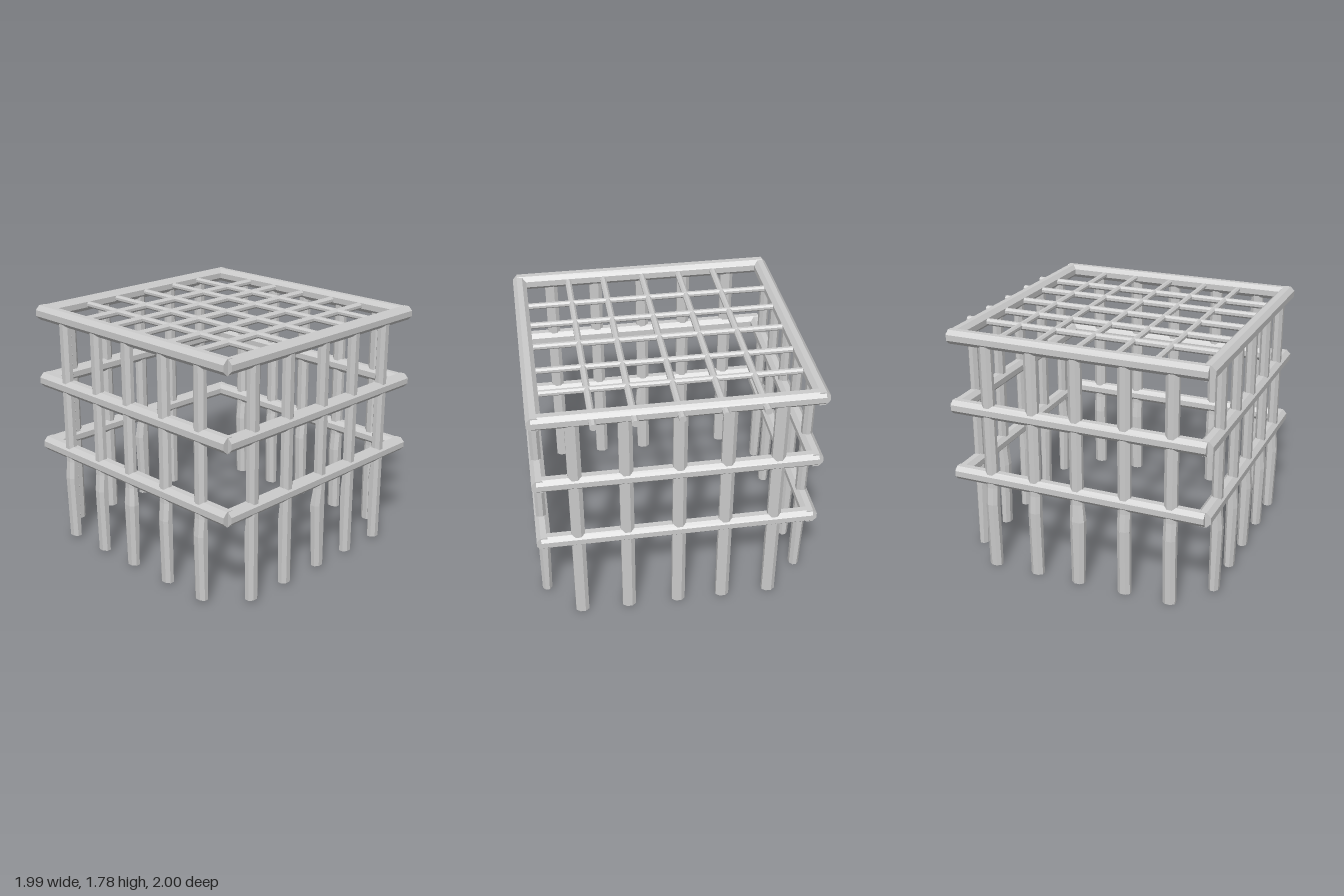
import * as THREE from 'three';

const material = new THREE.MeshStandardMaterial({ color: 0xcccccc, flatShading: true });

// Eight-sided prism along y, flats facing the axes; w and d are its full width and depth
function prism(w, d, length, segments = 1) {
  const r = 0.5 / Math.cos(Math.PI / 8);
  const geo = new THREE.CylinderGeometry(r, r, length, 8, segments, false, Math.PI / 8);
  return geo.scale(w, 1, d);
}

function add(group, name, geo, x, y, z) {
  const mesh = new THREE.Mesh(geo, material);
  mesh.name = name;
  mesh.position.set(x, y, z);
  group.add(mesh);
  return mesh;
}

// Horizontal beam along x or z, between two ends
function beam(group, name, axis, from, to, thick, y, across) {
  const geo = prism(thick, thick, to - from);
  const mid = (from + to) / 2;
  if (axis === 'x') add(group, name, geo.rotateZ(Math.PI / 2), mid, y, across);
  else add(group, name, geo.rotateX(Math.PI / 2), across, y, mid);
}

// Upright with a slight hand-hewn swelling below the lowest rail
function post(group, name, x, z, w, d, bottom, bulgeX, bulgeZ) {
  const levels = [bottom, 0.5, 0.63, 1.73];
  const geo = prism(w, d, 3, 3);
  const p = geo.attributes.position;
  for (let i = 0; i < p.count; i++) {
    const level = Math.round(p.getY(i) + 1.5);
    p.setY(i, levels[level]);
    if (level === 1) {
      if (p.getX(i) * bulgeX > 0) p.setX(i, p.getX(i) + bulgeX);
      if (p.getZ(i) * bulgeZ > 0) p.setZ(i, p.getZ(i) + bulgeZ);
    }
  }
  add(group, name, geo, x, 0, z);
}

export function createModel() {
  const model = new THREE.Group();
  model.name = 'timberFrame';

  // Three rings of rails
  const rails = new THREE.Group();
  rails.name = 'rails';
  model.add(rails);
  for (const y of [0.7, 1.21, 1.725]) {
    beam(rails, 'frontRail', 'x', -0.963, 0.963, 0.108, y, 0.942);
    beam(rails, 'backRail', 'x', -0.963, 0.963, 0.1, y, -0.89);
    beam(rails, 'leftRail', 'z', -0.92, 0.955, 0.1, y, 0.945);
    beam(rails, 'rightRail', 'z', -0.92, 0.955, 0.1, y, -0.945);
  }

  // Five posts on each side, none at the corners
  const posts = new THREE.Group();
  posts.name = 'posts';
  model.add(posts);
  [-0.685, -0.335, -0.005, 0.36, 0.705].forEach((x, i) => {
    post(posts, 'frontPost', x, 0.948, 0.095, 0.072, 0.02, i === 2 ? 0.012 : 0, 0.012);
    post(posts, 'backPost', x, -0.893, 0.095, 0.072, 0, 0, 0.012);
  });
  [0.71, 0.375, 0.02, -0.305, -0.645].forEach((z, i) => {
    const swell = i === 2 ? 0.015 : 0;
    post(posts, 'leftPost', 0.947, z, 0.072, 0.092, 0.02, -0.012, swell);
    post(posts, 'rightPost', -0.947, z, 0.072, 0.092, 0, -0.012, swell);
  });

  // Roof lattice; the long bars pass out over the back
  const lattice = new THREE.Group();
  lattice.name = 'roofLattice';
  model.add(lattice);
  for (const x of [-0.562, -0.288, 0, 0.303, 0.573]) {
    beam(lattice, 'lengthBar', 'z', -1, 0.92, 0.047, 1.722, x);
  }
  for (const z of [-0.577, -0.308, -0.006, 0.283, 0.558]) {
    beam(lattice, 'crossBar', 'x', -0.92, 0.91, 0.042, 1.725, z);
  }
  return model;
}
